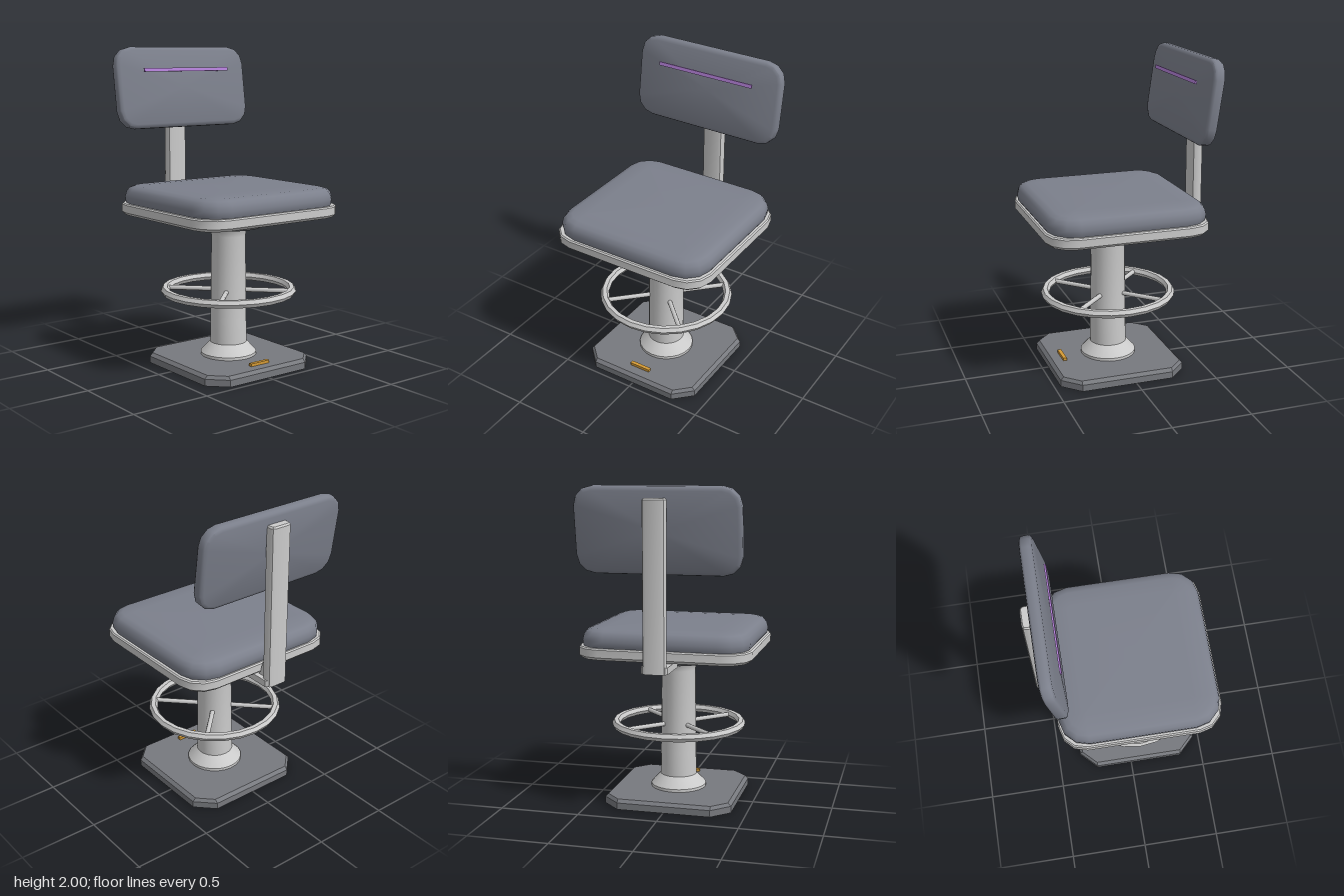
import * as THREE from 'three';
import { toCreasedNormals } from 'three/addons/utils/BufferGeometryUtils.js';

const AXIS_Z = 0.055; // the pedestal, seat and base share this centre line

const material = (color) => new THREE.MeshStandardMaterial({ color });
const metal = material(0xcccccc);
const padding = material(0x7c808c);
const darkMetal = material(0x77797e);
const purple = material(0xb783dc);
const amber = material(0xd49a35);

// Outline of a rectangle with rounded corners (one segment gives a chamfer)
function roundedOutline(w, d, r, segments) {
  const points = [];
  for (let corner = 0; corner < 4; corner++) {
    const sx = corner === 0 || corner === 3 ? 1 : -1;
    const sz = corner < 2 ? 1 : -1;
    for (let k = 0; k <= segments; k++) {
      const a = (corner + k / segments) * Math.PI / 2;
      points.push([sx * (w / 2 - r) + r * Math.cos(a), sz * (d / 2 - r) + r * Math.sin(a)]);
    }
  }
  return points;
}

// Slab stacked from outlines; profile lists [inset, y] from bottom to top
function slab(w, d, r, segments, profile, crease = 0.6) {
  const positions = [], index = [];
  const n = 4 * (segments + 1);
  for (const [inset, y] of profile) {
    const outline = roundedOutline(w - 2 * inset, d - 2 * inset, Math.max(r - inset, 0.005), segments);
    for (const [x, z] of outline) positions.push(x, y, z);
  }
  const last = profile.length - 1;
  positions.push(0, profile[0][1], 0, 0, profile[last][1], 0);
  const bottom = n * profile.length, top = bottom + 1;
  for (let i = 0; i < n; i++) {
    const j = (i + 1) % n;
    for (let l = 0; l < last; l++) {
      const a = l * n + i, b = l * n + j;
      index.push(a, a + n, b, b, a + n, b + n);
    }
    index.push(bottom, i, j, top, last * n + j, last * n + i);
  }
  const geometry = new THREE.BufferGeometry();
  geometry.setAttribute('position', new THREE.Float32BufferAttribute(positions, 3));
  geometry.setIndex(index);
  return toCreasedNormals(geometry, crease);
}

function lathe(profile, segments) {
  const points = profile.map(([r, y]) => new THREE.Vector2(r, y));
  return toCreasedNormals(new THREE.LatheGeometry(points, segments), 0.5);
}

export function createModel() {
  const model = new THREE.Group();
  const add = (name, geometry, mat, x = 0, y = 0, z = 0, parent = model) => {
    const mesh = new THREE.Mesh(geometry, mat);
    mesh.name = name;
    mesh.position.set(x, y, z);
    parent.add(mesh);
    return mesh;
  };

  // Floor plate with cut corners
  const base = roundedOutline(0.81, 0.81, 0.11, 1);
  add('basePlate', slab(0.81, 0.81, 0.11, base.length / 4 - 1, [[0, 0], [0, 0.042], [0.02, 0.062]], 0.2),
    darkMetal, 0, 0, AXIS_Z);
  add('baseMarker', new THREE.BoxGeometry(0.14, 0.02, 0.024), amber, 0, 0.07, 0.366);

  // Pedestal with flared foot and head
  add('column', lathe([
    [0, 0.06], [0.177, 0.06], [0.177, 0.08], [0.117, 0.145], [0.114, 0.3],
    [0.108, 0.83], [0.113, 0.86], [0.128, 0.89], [0, 0.89],
  ], 24), metal, 0, 0, AXIS_Z);
  add('swivel', lathe([
    [0, 0.885], [0.205, 0.885], [0.225, 0.9], [0.225, 0.94], [0.205, 0.96], [0, 0.96],
  ], 24), darkMetal, 0, 0, AXIS_Z);

  // Foot ring on four diagonal spokes
  const footrest = new THREE.Group();
  footrest.name = 'footrest';
  footrest.position.set(0, 0.48, AXIS_Z);
  model.add(footrest);
  const ring = new THREE.TorusGeometry(0.402, 0.027, 6, 24).rotateX(Math.PI / 2);
  add('footRing', toCreasedNormals(ring, 0.5), metal, 0, 0, 0, footrest);
  for (let i = 0; i < 4; i++) {
    const spoke = new THREE.CylinderGeometry(0.015, 0.015, 0.31, 8).rotateZ(Math.PI / 2).translate(0.245, 0, 0);
    add('footSpoke', spoke, metal, 0, 0, 0, footrest).rotation.y = Math.PI / 4 + i * Math.PI / 2;
  }

  // Seat tray and cushion
  add('seatTray', slab(1.07, 1.02, 0.16, 3, [[0.02, 0.957], [0, 0.975], [0, 1.022], [0.008, 1.03]]),
    metal, 0, 0, 0.052);
  add('seatCushion', slab(1.04, 1.0, 0.17, 3, [
    [0.016, 1.015], [0.004, 1.04], [0, 1.07], [0.01, 1.105], [0.03, 1.127], [0.065, 1.138], [0.16, 1.143],
  ], 0.8), padding, 0, 0, 0.05);

  // Bracket under the seat, gusset and upright post
  add('backBracket', slab(0.16, 0.255, 0.012, 1, [[0, 0.91], [0, 0.952]]), metal, 0, 0, -0.42);
  const side = new THREE.Shape([
    new THREE.Vector2(0.44, 0.95), new THREE.Vector2(0.5, 0.95), new THREE.Vector2(0.5, 1.055),
    new THREE.Vector2(0.475, 1.04), new THREE.Vector2(0.458, 0.97),
  ]);
  const gusset = new THREE.ExtrudeGeometry(side, { depth: 0.1, bevelEnabled: false });
  add('bracketGusset', gusset.translate(0, 0, -0.05).rotateY(Math.PI / 2), metal);
  add('backPost', slab(0.14, 0.07, 0.024, 2, [[0, 0.91], [0, 1.917], [0.008, 1.927]]),
    metal, 0, 0, -0.527);

  // Tilted backrest with accent strip
  const back = new THREE.Group();
  back.name = 'backrest';
  back.position.set(0, 1.74, -0.446);
  back.rotation.x = -0.145;
  model.add(back);
  const pad = slab(1.0, 0.518, 0.115, 3, [
    [0.025, -0.037], [0.006, -0.03], [0, -0.018], [0, 0.018], [0.006, 0.03], [0.025, 0.037],
  ], 0.8);
  add('backCushion', pad.rotateX(Math.PI / 2), padding, 0, 0, 0, back);
  add('accentStrip', new THREE.BoxGeometry(0.656, 0.022, 0.01), purple, 0, 0.105, 0.074, back);

  return model;
}
